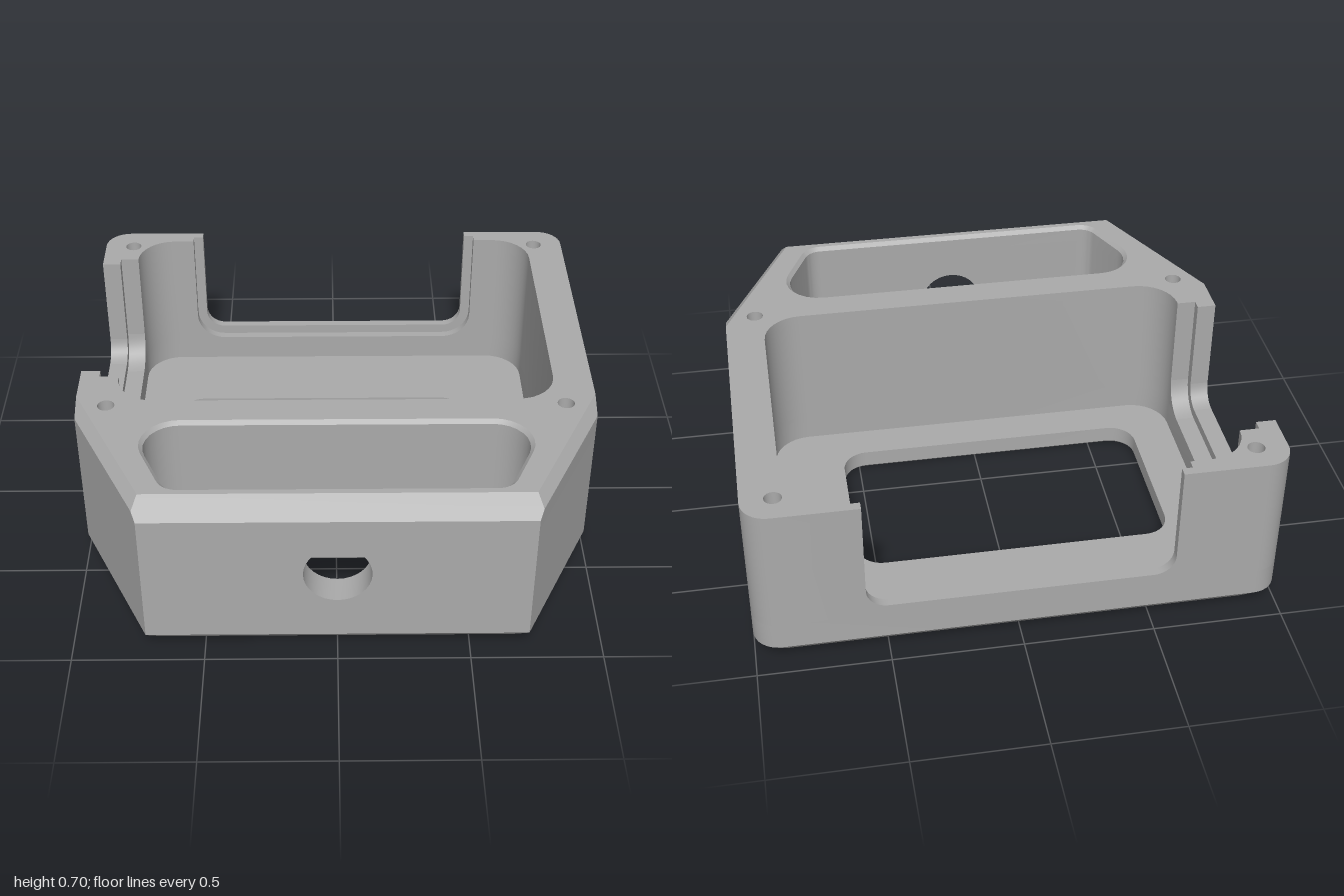
import * as THREE from 'three';
import { mergeGeometries, toCreasedNormals } from 'three/addons/utils/BufferGeometryUtils.js';

const CREASE = 0.35;
const TOP = 0.7, FLOOR = 0.08, SILL = 0.19, LEDGE = 0.23, HOLE_Y = 0.38, HOLE_R = 0.127;
const FRONT = 0.95, POCKET_FRONT = 0.835;
const near = (a, b) => Math.abs(a - b) < 1e-5;

// Polygon of [x, z, radius] corners, rounded with true arcs
function rounded(corners, n = 8) {
  const out = [];
  corners.forEach(([x, z, r = 0], i) => {
    if (!r) { out.push([x, z]); return; }
    const v = new THREE.Vector2(x, z);
    const dir = (c) => new THREE.Vector2(c[0], c[1]).sub(v).normalize();
    const a = dir(corners[(i + corners.length - 1) % corners.length]);
    const b = dir(corners[(i + 1) % corners.length]);
    const half = Math.acos(a.dot(b)) / 2;
    const c = v.clone().addScaledVector(a.clone().add(b).normalize(), r / Math.sin(half));
    const p = v.clone().addScaledVector(a, r / Math.tan(half)).sub(c);
    const q = v.clone().addScaledVector(b, r / Math.tan(half)).sub(c);
    const a0 = p.angle();
    let sweep = q.angle() - a0;
    if (sweep > Math.PI) sweep -= 2 * Math.PI;
    if (sweep < -Math.PI) sweep += 2 * Math.PI;
    for (let k = 0; k <= n; k++) {
      const t = a0 + (sweep * k) / n;
      out.push([c.x + r * Math.cos(t), c.y + r * Math.sin(t)]);
    }
  });
  return out;
}
const rect = (x0, x1, z0, z1, r = 0) => rounded([[x0, z0, r], [x1, z0, r], [x1, z1, r], [x0, z1, r]]);
const circle = (x, z, r, n = 32) => Array.from({ length: n }, (_, i) => {
  const t = (i / n) * 2 * Math.PI;
  return [x + r * Math.cos(t), z + r * Math.sin(t)];
});
const at = (loop, y) => loop.map(([x, z]) => [x, y, z]);

// Closed wall between successive rows of 3D points
function wall(rows, skip = () => false) {
  const pos = [];
  for (let j = 0; j + 1 < rows.length; j++) {
    const lo = rows[j], hi = rows[j + 1];
    for (let i = 0; i < lo.length; i++) {
      const k = (i + 1) % lo.length;
      if (skip(lo[i], lo[k], j)) continue;
      pos.push(...lo[i], ...hi[i], ...hi[k], ...lo[i], ...hi[k], ...lo[k]);
    }
  }
  const g = new THREE.BufferGeometry();
  g.setAttribute('position', new THREE.Float32BufferAttribute(pos, 3));
  return toCreasedNormals(g, CREASE);
}

function panel(loop, holes = []) {
  const vec = (l) => l.map(([x, y]) => new THREE.Vector2(x, y));
  const s = new THREE.Shape(vec(loop));
  s.holes = holes.map((h) => new THREE.Path(vec(h)));
  return new THREE.ShapeGeometry(s);
}
// Horizontal face at height y
function face(loop, holes, y, up = true) {
  const g = panel(loop, holes).rotateX(Math.PI / 2).translate(0, y, 0);
  if (up) {
    g.setIndex(Array.from(g.index.array).reverse());
    g.computeVertexNormals();
  }
  return g;
}
const box = (x0, x1, y0, y1, z0, z1) => new THREE.BoxGeometry(x1 - x0, y1 - y0, z1 - z0)
  .translate((x0 + x1) / 2, (y0 + y1) / 2, (z0 + z1) / 2);

// Concave corner filler at (u, v), opening towards side s
function fillet(u, v, s, r, depth) {
  const pts = [[u, v]];
  for (let k = 0; k <= 8; k++) {
    const t = (k / 8) * Math.PI / 2;
    pts.push([u + s * r * (1 - Math.sin(t)), v + r * (1 - Math.cos(t))]);
  }
  const shape = new THREE.Shape(pts.map((p) => new THREE.Vector2(...p)));
  return toCreasedNormals(new THREE.ExtrudeGeometry(shape, { depth, bevelEnabled: false }), CREASE);
}

export function createModel() {
  const model = new THREE.Group();
  const grey = new THREE.MeshStandardMaterial({ color: 0xaaaaaa, side: THREE.DoubleSide });
  grey.name = 'housing grey';
  const add = (name, ...geos) => {
    const list = geos.map((g) => {
      const n = g.index ? g.toNonIndexed() : g;
      n.deleteAttribute('uv');
      return n;
    });
    const m = new THREE.Mesh(mergeGeometries(list), grey);
    m.name = name;
    model.add(m);
  };

  // Plan outlines
  const outer = rounded([[-1, -0.95, 0.1], [1, -0.95, 0.1], [1, 0.37], [0.72, FRONT], [-0.72, FRONT], [-1, 0.37]]);
  const foot = rounded([[-0.925, -0.875, 0.05], [0.925, -0.875, 0.05], [0.925, 0.353], [0.673, 0.875],
    [-0.673, 0.875], [-0.925, 0.353]]);
  const cavity = rect(-0.85, 0.85, -0.88, 0.31, 0.15);
  const windowLoop = (d) => rect(-0.68 - d, 0.57 + d, -0.55 - d, 0.16 + d, 0.1 + d);
  const pocketLoop = (d) => rounded([[-0.79 - d * 1.54, 0.45 - d, 0.13 + d], [0.79 + d * 1.54, 0.45 - d, 0.13 + d],
    [0.62 + d * 0.65, POCKET_FRONT + d, 0.07 + d], [-0.62 - d * 0.65, POCKET_FRONT + d, 0.07 + d]]);
  const pocket = pocketLoop(0), pocketRim = pocketLoop(0.015);
  const mainWall = rounded([[0.58, -0.95], [1, -0.95, 0.1], [1, 0.28], [1, 0.37], [0.72, FRONT], [-0.72, FRONT],
    [-1, 0.37], [-1, 0.28], [-1, 0.11], [-0.925, 0.11], [-0.925, 0.15], [-0.85, 0.15], [-0.85, 0.31, 0.15],
    [0.85, 0.31, 0.15], [0.85, -0.88, 0.15], [0.62, -0.88], [0.62, -0.915], [0.58, -0.915]]);
  const post = rounded([[-1, -0.69], [-1, -0.95, 0.1], [-0.58, -0.95], [-0.58, -0.915], [-0.62, -0.915],
    [-0.62, -0.88], [-0.85, -0.88, 0.15], [-0.85, -0.73], [-0.925, -0.73], [-0.925, -0.69]]);

  // Base: chamfered foot, seal groove, floor with window
  const grooveOut = windowLoop(0.1), grooveIn = windowLoop(0.055), win = windowLoop(0), winRim = windowLoop(0.012);
  add('base',
    wall([at(foot, 0), at(outer, FLOOR), at(outer, SILL)]),
    face(foot, [pocketRim, grooveOut], 0, false),
    face(grooveIn, [winRim], 0, false),
    wall([at(winRim, 0), at(win, 0.012), at(win, FLOOR)]));
  add('sealGroove', wall([at(grooveOut, 0), at(grooveOut, 0.03)]), wall([at(grooveIn, 0), at(grooveIn, 0.03)]),
    face(grooveOut, [grooveIn], 0.03, false));
  add('cavityFloor', face(cavity, [win], FLOOR), wall([at(cavity, FLOOR), at(cavity, SILL)]));

  // Main wall: the front and slanted edges are chamfered towards the top
  const taper = (loop, y, slantZ, cornerX, frontZ) => loop.map(([x, z]) =>
    z === FRONT ? [Math.sign(x) * cornerX, y, frontZ] : z === 0.37 ? [x, y, slantZ] : [x, y, z]);
  const topRow = taper(mainWall, TOP, 0.28, 0.715, 0.873);
  const screws = [[0.88, -0.84], [0.88, 0.34], [-0.88, 0.34], [-0.88, -0.84]].map(([x, z]) => circle(x, z, 0.033, 20));
  const portHole = circle(0, HOLE_Y, HOLE_R);
  add('mainWall',
    wall([at(mainWall, SILL), at(mainWall, 0.63), taper(mainWall, 0.66, 0.37, 0.735, 0.92), topRow],
      (a, b, j) => j === 0 && a[2] === FRONT && b[2] === FRONT),
    face(topRow.map(([x, , z]) => [x, z]), [pocketRim, ...screws.slice(0, 3)], TOP),
    panel(rect(-0.72, 0.72, SILL, 0.63), [portHole]).translate(0, 0, FRONT));
  add('cornerPost', wall([at(post, SILL), at(post, TOP)]), face(post, [screws[3]], TOP));

  // Front pocket, open above and below, reached by a round port
  const flatX = Math.max(...pocket.filter((p) => near(p[1], POCKET_FRONT)).map((p) => p[0]));
  add('frontPocket',
    wall([at(pocketRim, 0), at(pocket, 0.015), at(pocket, SILL), at(pocket, 0.63), at(pocket, TOP - 0.015), at(pocketRim, TOP)],
      (a, b, j) => j === 2 && near(a[2], POCKET_FRONT) && near(b[2], POCKET_FRONT) && Math.abs(a[0] - b[0]) > 0.5),
    panel(rect(-flatX, flatX, SILL, 0.63), [portHole]).translate(0, 0, POCKET_FRONT));
  add('frontPort', wall([FRONT, POCKET_FRONT].map((z) => portHole.map(([x, y]) => [x, y, z]))));

  // Blind screw holes
  for (const s of screws) add('screwHole', wall([at(s, TOP), at(s, TOP - 0.2)]), face(s, [], TOP - 0.2));

  // Stepped sills and rounded corners of the two wall openings
  const backCorners = [-1, 1].flatMap((s) => [
    fillet(s * 0.58, LEDGE, -s, 0.08, 0.035).translate(0, 0, -0.95),
    fillet(s * 0.62, SILL, -s, 0.12, 0.035).translate(0, 0, -0.915)]);
  add('backOpening', box(-0.58, 0.58, SILL, LEDGE, -0.95, -0.915),
    face(rect(-0.62, 0.62, -0.915, -0.88), [], SILL), ...backCorners);
  const sideCorners = [[-0.69, -0.73, 1], [0.11, 0.15, -1]].flatMap(([narrow, wide, s]) => [
    fillet(narrow, LEDGE, s, 0.08, 0.075).rotateY(-Math.PI / 2).translate(-0.925, 0, 0),
    fillet(wide, SILL, s, 0.12, 0.075).rotateY(-Math.PI / 2).translate(-0.85, 0, 0)]);
  add('sideOpening', box(-1, -0.925, SILL, LEDGE, -0.69, 0.11),
    face(rect(-0.925, -0.85, -0.73, 0.15), [], SILL), ...sideCorners);

  return model;
}
